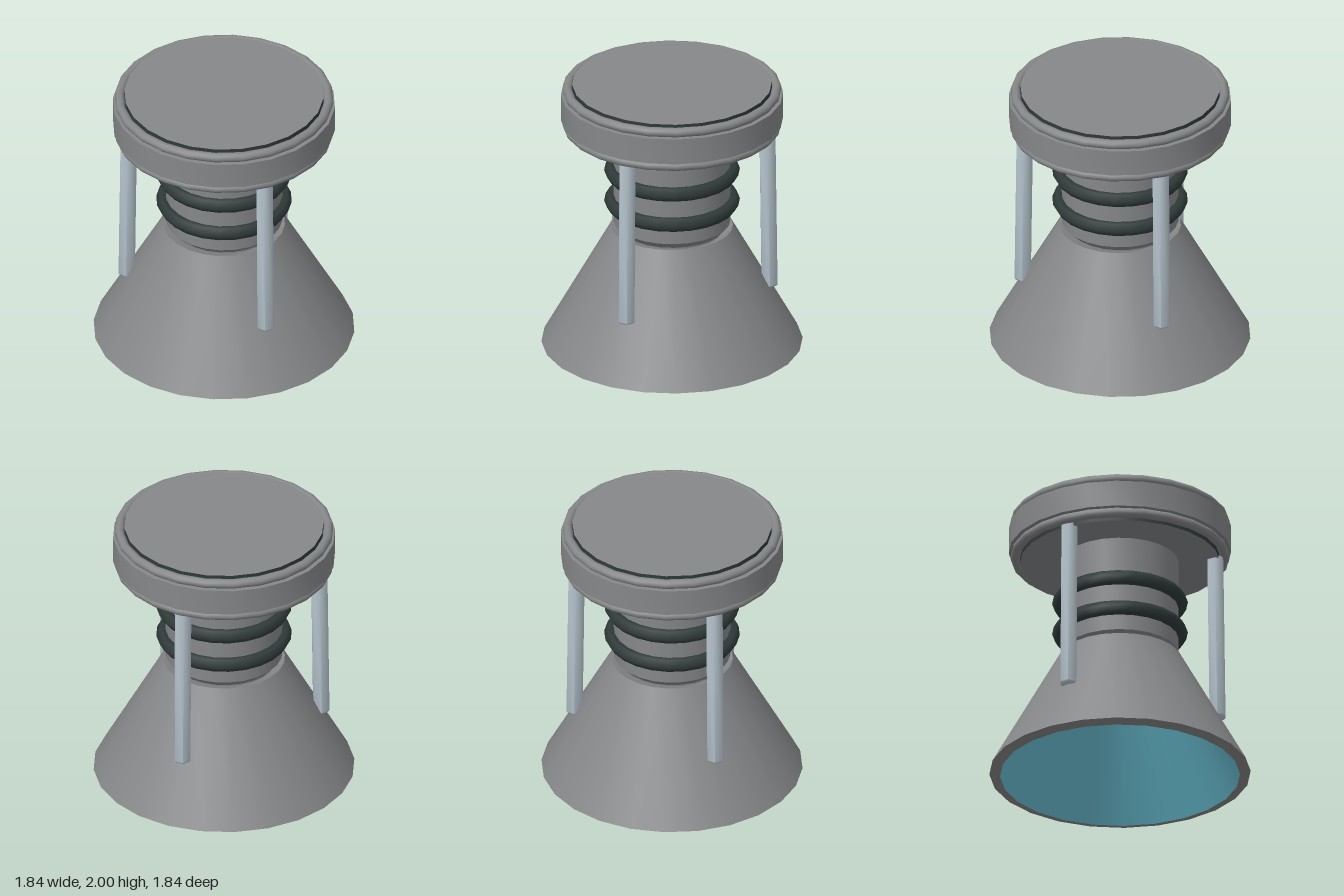
import * as THREE from 'three';
import { toCreasedNormals } from 'three/addons/utils/BufferGeometryUtils.js';

function material(name, color) {
  const m = new THREE.MeshStandardMaterial({ color });
  m.name = name;
  return m;
}

export function createModel() {
  const group = new THREE.Group();
  const grey = material('grey metal', 0x868789);
  const steel = material('pale steel', 0xbccad4);
  const rubber = material('dark ring', 0x303b3a);
  const glow = material('blue interior', 0x69bfd3);
  const SIDES = 24;

  const add = (name, geometry, mat) => {
    const mesh = new THREE.Mesh(geometry, mat);
    mesh.name = name;
    group.add(mesh);
    return mesh;
  };
  // Revolved profile of [radius, height] pairs with sharp edges kept
  const turned = (points, sides = SIDES) => toCreasedNormals(
    new THREE.LatheGeometry(points.map(([r, y]) => new THREE.Vector2(r, y)), sides), 0.5);
  // Horizontal ring at height y
  const addRing = (name, y, radius, tube, tubeSides, mat) => {
    const ring = add(name, new THREE.TorusGeometry(radius, tube, tubeSides, SIDES), mat);
    ring.rotation.x = Math.PI / 2;
    ring.position.y = y;
  };

  // Flared bell: bevelled lip, outer cone and a top rim sloping in towards the neck
  add('bell', turned([[0.845, 0], [0.92, 0.02], [0.43, 0.905], [0.36, 0.88]]), grey);

  // Inside of the bell, facing inwards
  add('bellInterior', turned([[0, 0.88], [0.36, 0.88], [0.845, 0]]), glow);

  // Neck with a chamfered foot
  add('neck', turned([[0.36, 0.88], [0.36, 0.891], [0.412, 0.943], [0.412, 1.67]]), grey);

  // Rings around the neck
  for (const y of [1.102, 1.336]) addRing('neckRing', y, 0.425, 0.053, 6, rubber);

  // Head disc: wide band, rounded beads above and below, flat end plates with dark edges
  add('headBand', turned([[0.7, 1.73], [0.783, 1.73], [0.783, 1.922], [0.7, 1.922]]), grey);
  addRing('lowerBead', 1.696, 0.738, 0.034, 12, grey);
  addRing('upperBead', 1.956, 0.738, 0.034, 12, grey);
  add('headUnderside', turned([[0, 1.652], [0.703, 1.652]]), grey);
  add('headTop', turned([[0.703, 2], [0, 2]]), grey);
  add('headCoreEdge', turned([[0.703, 1.652], [0.703, 2]]), rubber);

  // Three slightly splayed hexagonal struts from the head to the bell
  const strutShape = new THREE.LatheGeometry([
    [0, 0], [0.054, 0], [0.064, 0.012], [0.064, 1.24], [0, 1.24],
  ].map(([r, y]) => new THREE.Vector2(r, y)), 6);
  strutShape.rotateY(Math.PI / 6);
  const strutGeometry = toCreasedNormals(strutShape, 1.1);
  for (let i = 0; i < 3; i++) {
    const arm = new THREE.Group();
    arm.name = 'strutArm';
    arm.rotation.y = i * Math.PI * 2 / 3;
    const strut = new THREE.Mesh(strutGeometry, steel);
    strut.name = 'strut';
    strut.position.set(0, 0.432, 0.687);
    strut.rotation.x = -0.013;
    arm.add(strut);
    group.add(arm);
  }

  return group;
}
